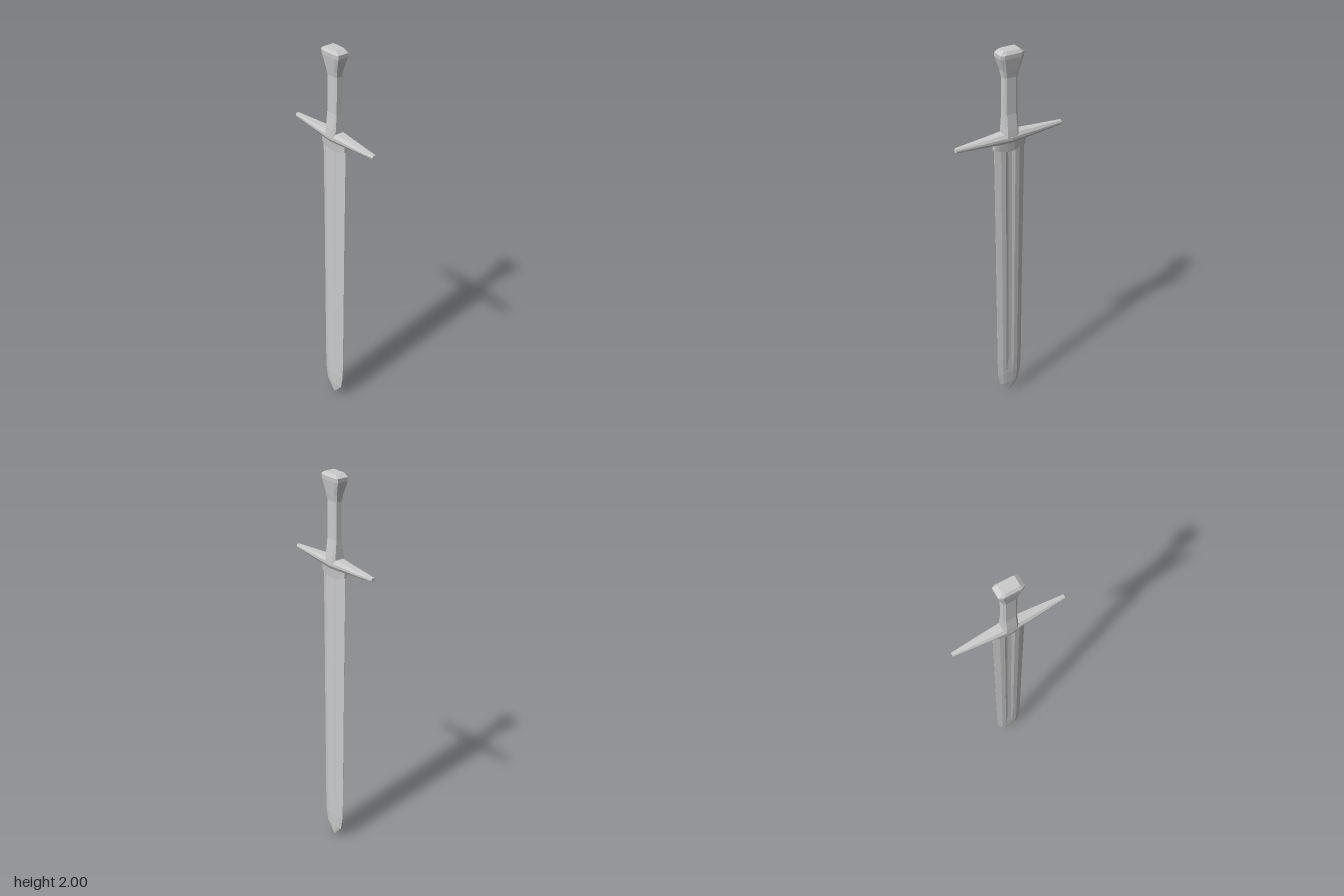
import * as THREE from 'three';

const material = new THREE.MeshStandardMaterial({ color: 0xcccccc, flatShading: true });

// Joins rings of [x, y, z] points, ordered upward, and closes both ends.
function loft(rings) {
  const positions = [];
  const tri = (a, b, c) => positions.push(...a, ...b, ...c);
  const n = rings[0].length;
  const centre = (ring) => [0, 1, 2].map((k) => ring.reduce((s, p) => s + p[k], 0) / n);
  for (let i = 0; i < rings.length - 1; i++) {
    for (let j = 0; j < n; j++) {
      const k = (j + 1) % n;
      tri(rings[i][j], rings[i + 1][j], rings[i][k]);
      tri(rings[i][k], rings[i + 1][j], rings[i + 1][k]);
    }
  }
  const low = rings[0], high = rings[rings.length - 1];
  const lowMid = centre(low), highMid = centre(high);
  for (let j = 0; j < n; j++) {
    const k = (j + 1) % n;
    tri(lowMid, low[j], low[k]);
    tri(highMid, high[k], high[j]);
  }
  const geometry = new THREE.BufferGeometry();
  geometry.setAttribute('position', new THREE.Float32BufferAttribute(positions, 3));
  geometry.computeVertexNormals();
  return geometry;
}

// Mirrors a quarter outline, given from the +x side to the +z side, into a full ring.
function ring(y, quarter) {
  const back = [...quarter].reverse();
  const half = [...quarter, ...back.map(([x, z]) => [-x, z])];
  const full = [...half, ...quarter.map(([x, z]) => [-x, -z]), ...back.map(([x, z]) => [x, -z])];
  return full.map(([x, z]) => [x, y, z]);
}

// Eight-sided section: half width, half depth, and how far the flats reach.
const octagon = (y, w, d, flatX = 0.7, flatZ = 0.7) => ring(y, [[w, d * flatZ], [w * flatX, d]]);

function addPart(group, name, geometry) {
  const mesh = new THREE.Mesh(geometry, material);
  mesh.name = name;
  group.add(mesh);
  return mesh;
}

export function createModel() {
  const model = new THREE.Group();
  model.name = 'sword';

  // Blade: bevelled edges and a shallow central groove; [y, half width, half depth, groove depth]
  const blade = [
    [0, 0.001, 0.001, 0.001],
    [0.06, 0.055, 0.008, 0.008],
    [0.13, 0.069, 0.011, 0.011],
    [0.24, 0.072, 0.012, 0.009],
    [1.0, 0.078, 0.013, 0.009],
    [1.54, 0.084, 0.014, 0.009],
  ];
  addPart(model, 'blade', loft(blade.map(([y, w, d, g]) =>
    ring(y, [[w, 0.0005], [w * 0.62, d * 0.85], [w * 0.32, d], [w * 0.13, g]]))));

  // Collar: its lower rim dips toward the middle of the blade
  const collarRing = (y, dip, w, d) =>
    ring(y, [[w, d * 0.4], [w * 0.75, d * 0.75], [w * 0.2, d]])
      .map(([x, py, z]) => [x, py - dip * (1 - Math.abs(x) / w), z]);
  addPart(model, 'collar', loft([
    collarRing(1.5, 0.02, 0.086, 0.019),
    collarRing(1.545, 0, 0.088, 0.026),
  ]));

  // Crossguard: thick in the middle, tapering to both tips; [position, half height, half depth]
  const guard = [
    [-0.29, 0.01, 0.011], [-0.1, 0.02, 0.028], [-0.05, 0.024, 0.031], [0, 0.026, 0.036],
    [0.05, 0.024, 0.031], [0.1, 0.02, 0.028], [0.29, 0.01, 0.011],
  ];
  const crossguard = addPart(model, 'crossguard',
    loft(guard.map(([p, h, d]) => octagon(p, h, d, 0.3, 0.68))));
  crossguard.rotation.z = -Math.PI / 2;
  crossguard.position.y = 1.557;

  // Grip: slim, deepening toward the guard
  addPart(model, 'grip', loft([
    octagon(1.56, 0.038, 0.035),
    octagon(1.6, 0.037, 0.032),
    octagon(1.68, 0.035, 0.022),
    octagon(1.87, 0.035, 0.021),
  ]));

  // Pommel: flares out of the grip to a bevelled cap
  addPart(model, 'pommel', loft([
    octagon(1.865, 0.036, 0.021),
    octagon(1.9, 0.042, 0.027),
    octagon(1.965, 0.062, 0.037, 0.7, 0.75),
    octagon(1.985, 0.063, 0.038, 0.7, 0.75),
    octagon(2.0, 0.042, 0.028, 0.7, 0.9),
  ]));

  return model;
}
